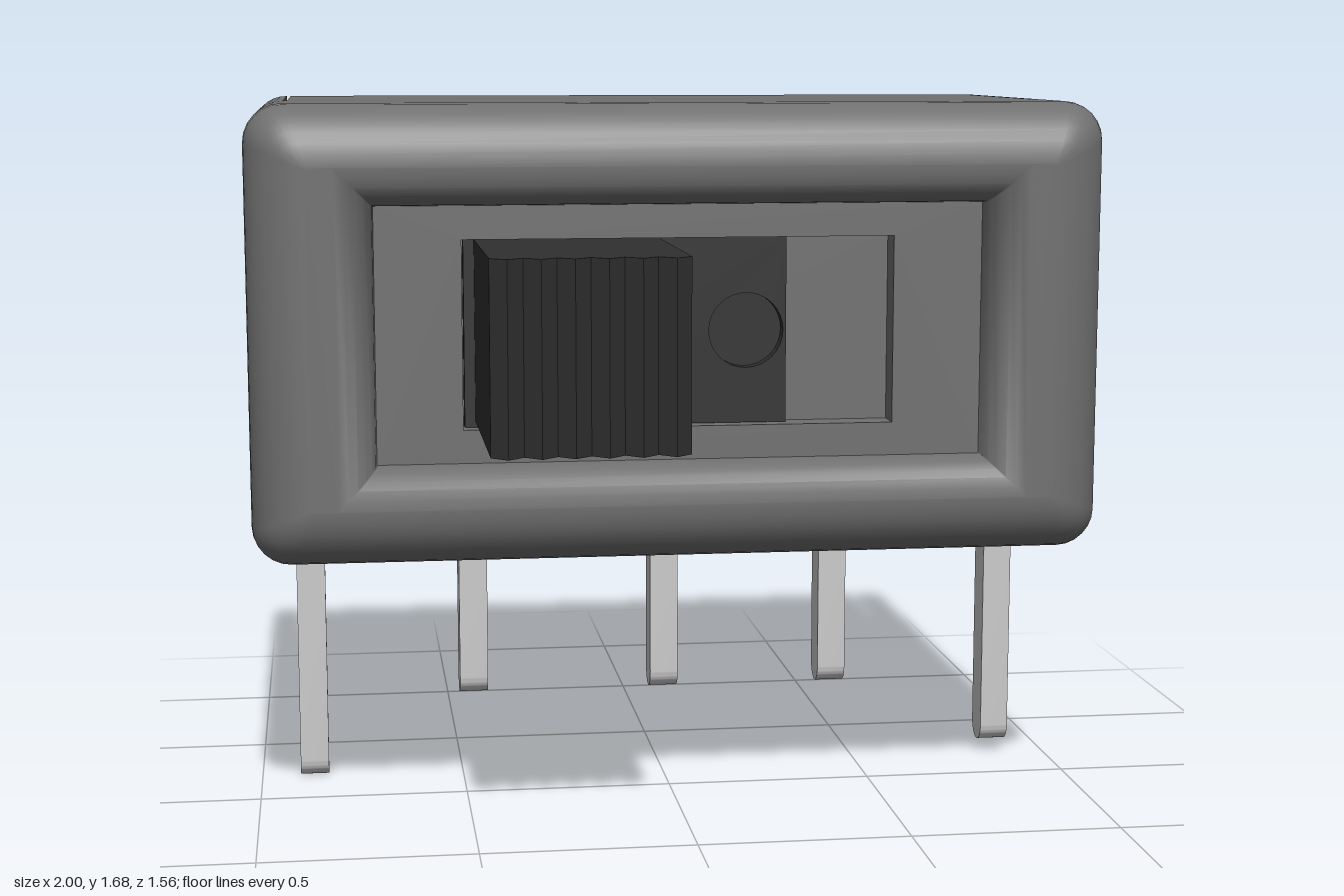
import * as THREE from 'three';
import { toCreasedNormals } from 'three/addons/utils/BufferGeometryUtils.js';

const grey = new THREE.MeshStandardMaterial({ color: 0x707070 });
const black = new THREE.MeshStandardMaterial({ color: 0x303030 });
const metal = new THREE.MeshStandardMaterial({ color: 0xcccccc });

const poly = (pts) => new THREE.Shape(pts.map(([x, y]) => new THREE.Vector2(x, y)));
const rect = (x0, x1, y0, y1) => poly([[x0, y0], [x1, y0], [x1, y1], [x0, y1]]);

// Extrude an xy shape from z0 to z1
function prismZ(shape, z0, z1) {
  const g = new THREE.ExtrudeGeometry(shape, { depth: z1 - z0, bevelEnabled: false, curveSegments: 16 });
  return g.translate(0, 0, z0);
}
// Extrude an outline given as [x, z] points from y0 to y1
function prismY(pts, y0, y1) {
  const g = new THREE.ExtrudeGeometry(poly(pts), { depth: y1 - y0, bevelEnabled: false });
  return g.rotateX(Math.PI / 2).translate(0, y1, 0);
}
function box(x0, x1, y0, y1, z0, z1) {
  return new THREE.BoxGeometry(x1 - x0, y1 - y0, z1 - z0)
    .translate((x0 + x1) / 2, (y0 + y1) / 2, (z0 + z1) / 2);
}

// Rounded front bezel, lofted through rounded rectangles that roll into the recess
function bezelGeometry() {
  const rows = [[0, 0, -0.08]];
  for (let i = 0; i <= 8; i++) {
    const a = (i / 8) * Math.PI / 2, n = 0.14 * (1 - Math.cos(a));
    rows.push([n, n, 0.195 + 0.14 * Math.sin(a)]);
  }
  for (let i = 0; i <= 6; i++) {
    const a = (i / 6) * Math.PI / 2, n = 0.09 * Math.sin(a);
    rows.push([0.2 + n, 0.142 + n, 0.335 - 0.105 * (1 - Math.cos(a))]);
  }
  const pos = [], index = [], seg = 6, count = 4 * (seg + 1);
  for (const [ix, iy, z] of rows) {
    const r = Math.max(0.002, 0.09 - 0.62 * ix);
    for (let c = 0; c < 4; c++) {
      const sx = c === 0 || c === 3 ? 1 : -1, sy = c < 2 ? 1 : -1;
      for (let k = 0; k <= seg; k++) {
        const a = (c + k / seg) * Math.PI / 2;
        pos.push(sx * (1 - ix - r) + r * Math.cos(a), 1.15 + sy * (0.53 - iy - r) + r * Math.sin(a), z);
      }
    }
  }
  for (let j = 0; j < rows.length - 1; j++) {
    for (let i = 0; i < count; i++) {
      const a = j * count + i, b = j * count + (i + 1) % count;
      index.push(a, b, b + count, a, b + count, a + count);
    }
  }
  const g = new THREE.BufferGeometry();
  g.setAttribute('position', new THREE.Float32BufferAttribute(pos, 3));
  g.setIndex(index);
  return toCreasedNormals(g, 0.6);
}

// Upper (t = 1) or lower (t = -1) rail of a side wall, outer corner rounded, rear inner edge chamfered
function railGeometry(s, t) {
  const pts = [[s * 0.91, 1.15 + t * 0.21], [s, 1.15 + t * 0.21]];
  for (let k = 0; k <= 8; k++) {
    const a = (k / 8) * Math.PI / 2;
    pts.push([s * (0.91 + 0.09 * Math.cos(a)), 1.15 + t * (0.44 + 0.09 * Math.sin(a))]);
  }
  const g = prismZ(poly(pts), -0.75, -0.08);
  const p = g.attributes.position;
  for (let i = 0; i < p.count; i++) {
    p.setZ(i, Math.max(p.getZ(i), -0.75 + Math.max(0, 0.955 - Math.abs(p.getX(i)))));
  }
  return toCreasedNormals(g, 0.6);
}

export function createModel() {
  const model = new THREE.Group();
  const add = (name, geometry, material, parent = model) => {
    const m = new THREE.Mesh(geometry, material);
    m.name = name;
    parent.add(m);
    return m;
  };

  // Housing: bezel, recessed face plate with the slider opening, and its floor
  add('frontBezel', bezelGeometry(), grey);
  const face = rect(-0.71, 0.71, 0.85, 1.45);
  face.holes.push(rect(-0.51, 0.5, 0.93, 1.37));
  add('facePlate', prismZ(face, 0.15, 0.23), grey);
  add('openingFloor', box(-0.6, 0.6, 0.88, 1.42, 0.08, 0.16), grey);

  // Main block with a window in the back
  const core = rect(-0.9, 0.9, 0.62, 1.68);
  core.holes.push(rect(-0.83, 0.83, 0.85, 1.45));
  add('mainBlock', prismZ(core, -0.725, -0.08), grey);
  add('underside', box(-0.92, 0.92, 0.63, 1.67, -0.1, -0.07), grey);

  // Slotted terminal board inside the back window, with raised ribs
  const slotX = [-0.72, -0.36, 0, 0.36, 0.72];
  const board = rect(-0.84, 0.84, 0.84, 1.46);
  slotX.forEach((x) => board.holes.push(rect(x - 0.035, x + 0.035, 0.9, 1.4)));
  add('terminalBoard', prismZ(board, -0.615, -0.52), grey);
  add('boardBacking', box(-0.84, 0.84, 0.84, 1.46, -0.53, -0.5), grey);
  for (const x of slotX.slice(1, 4)) {
    const rib = rect(x - 0.1, x + 0.1, 0.85, 1.45);
    rib.holes.push(rect(x - 0.035, x + 0.035, 0.9, 1.4));
    add('boardRib', prismZ(rib, -0.65, -0.61), grey);
  }

  // Side walls with a latch notch and a narrow slit
  for (const s of [1, -1]) {
    const wall = new THREE.Group();
    wall.name = s > 0 ? 'leftWall' : 'rightWall';
    model.add(wall);
    add('upperRail', railGeometry(s, 1), grey, wall);
    add('lowerRail', railGeometry(s, -1), grey, wall);
    const mid = (pts) => prismY(pts.map(([x, z]) => [s * x, z]), 0.94, 1.36);
    add('rearPanel', mid([[0.91, -0.705], [0.955, -0.75], [1, -0.75], [1, -0.472], [0.91, -0.472]]), grey, wall);
    add('latchPanel', mid([[0.91, -0.463], [1, -0.463], [1, -0.23], [0.92, -0.08], [0.91, -0.08]]), grey, wall);
    add('slitFloor', box(s * 0.905 - 0.01, s * 0.905 + 0.01, 0.65, 1.65, -0.45, -0.08), grey, wall);
  }

  // Rivet heads on the back
  for (const x of [-0.78, 0.78]) {
    for (const y of [0.745, 1.555]) {
      add('rivet', new THREE.SphereGeometry(0.055, 20, 14).translate(x, y, -0.725), grey);
    }
  }

  // Slider: base plate with a round dimple and a ribbed thumb knob
  const slider = new THREE.Group();
  slider.name = 'slider';
  model.add(slider);
  const plate = rect(-0.505, 0.25, 0.932, 1.368);
  plate.holes.push(new THREE.Path().absarc(0.155, 1.15, 0.088, 0, Math.PI * 2, true));
  add('sliderPlate', prismZ(plate, 0.16, 0.2), black, slider);
  add('dimpleFloor', box(-0.5, 0.245, 0.935, 1.365, 0.14, 0.165), black, slider);
  const outline = [[-0.05, 0.17], [-0.05, 0.745]];
  for (let i = 0; i < 6; i++) {
    const x = -0.05 - (i * 0.43) / 6;
    outline.push([x - 0.036, 0.78], [x - 0.0717, 0.745]);
  }
  outline.push([-0.48, 0.17]);
  add('thumbKnob', prismY(outline, 0.945, 1.368), black, slider);

  // Pins with rounded tips: [x, tip height]
  for (const [x, tip] of [[-0.87, 0], [-0.47, 0.2], [0.01, 0.2], [0.44, 0.2], [0.87, 0.03]]) {
    const pin = new THREE.Shape();
    pin.moveTo(0.043, 0.66);
    pin.lineTo(-0.043, 0.66);
    pin.lineTo(-0.043, tip + 0.043);
    pin.absarc(0, tip + 0.043, 0.043, Math.PI, Math.PI * 2, false);
    const g = prismZ(pin, -0.035, 0.035).rotateY(Math.PI / 2).translate(x, 0, -0.217);
    add('pin', toCreasedNormals(g, 0.6), metal);
  }
  return model;
}
